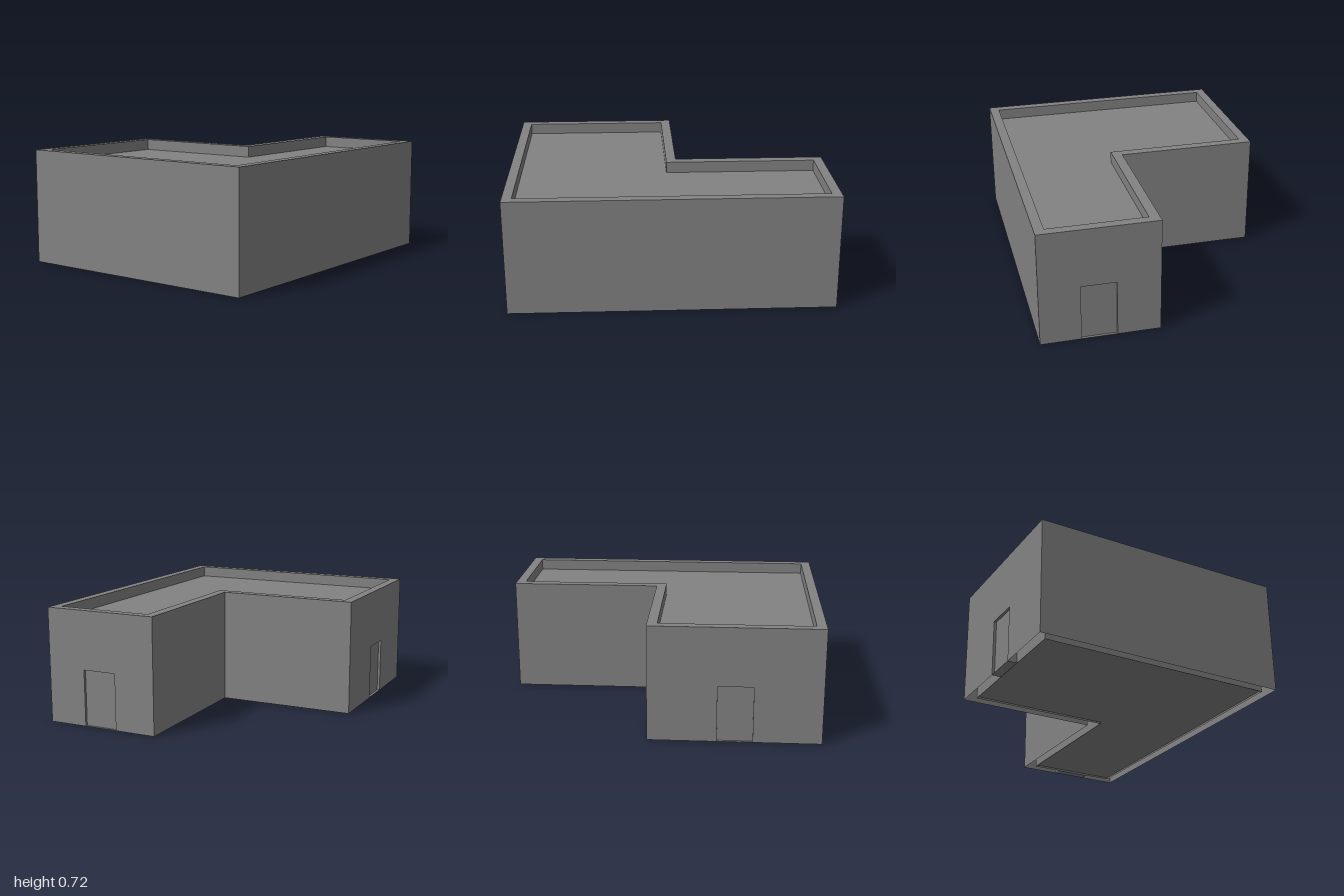
import * as THREE from 'three';

const HEIGHT = 0.72, ROOF = 0.65, DOOR_W = 0.22, DOOR_H = 0.355;

// L-shaped plan as [x, z], going round from the front left corner
const OUTER = [[-0.802, 1], [0.802, 1], [0.802, -1], [0.075, -1], [0.075, -0.052], [-0.802, -0.052]];
const INNER = [[-0.742, 0.94], [0.742, 0.94], [0.742, -0.94], [0.138, -0.94], [0.138, 0.01], [-0.742, 0.01]];
// Distance of each door's centre along its wall
const DOORS = { 2: 0.355, 5: 0.53 };

const material = new THREE.MeshStandardMaterial({ color: 0x828282, side: THREE.DoubleSide });

const shapeOf = (points) => new THREE.Shape(points.map(([x, y]) => new THREE.Vector2(x, y)));

function add(parent, name, geometry, y = 0) {
  const mesh = new THREE.Mesh(geometry, material);
  mesh.name = name;
  mesh.position.y = y;
  parent.add(mesh);
}

// Group whose local x runs along the wall and whose local z points out of it
function wallFrame(p, q) {
  const frame = new THREE.Group();
  frame.position.set(p[0], 0, p[1]);
  frame.rotation.y = Math.atan2(p[1] - q[1], q[0] - p[0]);
  return frame;
}

// Upright wall face, with a notch in the bottom edge for a door
function wallFace(length, door) {
  const points = [[0, 0]];
  if (door !== undefined) {
    const a = door - DOOR_W / 2, b = door + DOOR_W / 2;
    points.push([a, 0], [a, DOOR_H], [b, DOOR_H], [b, 0]);
  }
  points.push([length, 0], [length, HEIGHT], [0, HEIGHT]);
  return new THREE.ShapeGeometry(shapeOf(points));
}

// Door panel set back in a thin frame
function addDoor(parent, centre) {
  const door = new THREE.Group();
  door.name = 'door';
  door.position.x = centre;
  const w = DOOR_W / 2, t = 0.002;
  const surround = shapeOf([[-w, 0], [w, 0], [w, DOOR_H], [-w, DOOR_H]]);
  surround.holes.push(shapeOf([[-w + t, t], [-w + t, DOOR_H - t], [w - t, DOOR_H - t], [w - t, t]]));
  const frame = new THREE.ExtrudeGeometry(surround, { depth: 0.058, bevelEnabled: false });
  add(door, 'doorFrame', frame.translate(0, 0, -0.058));
  const panel = new THREE.BoxGeometry(DOOR_W - 2 * t, DOOR_H - 2 * t, 0.04);
  add(door, 'doorPanel', panel.translate(0, DOOR_H / 2, -0.036));
  parent.add(door);
}

export function createModel() {
  const model = new THREE.Group();
  model.name = 'building';

  // Outer and inner wall skins
  OUTER.forEach((p, i) => {
    const q = OUTER[(i + 1) % OUTER.length];
    const outside = wallFrame(p, q);
    outside.name = 'outerWall' + (i + 1);
    add(outside, 'wallFace', wallFace(Math.hypot(q[0] - p[0], q[1] - p[1]), DOORS[i]));
    if (DOORS[i] !== undefined) addDoor(outside, DOORS[i]);
    model.add(outside);

    const a = INNER[(i + 1) % INNER.length], b = INNER[i];
    const inside = wallFrame(a, b);
    inside.name = 'innerWall' + (i + 1);
    add(inside, 'wallFace', wallFace(Math.hypot(b[0] - a[0], b[1] - a[1])));
    model.add(inside);
  });

  // Flat top of the parapet
  const flip = (points) => points.map(([x, z]) => [x, -z]);
  const rim = shapeOf(flip(OUTER));
  rim.holes.push(shapeOf(flip(INNER)));
  add(model, 'parapetTop', new THREE.ShapeGeometry(rim).rotateX(-Math.PI / 2), HEIGHT);

  // Sunken roof, and floor set slightly up between the walls
  add(model, 'roof', new THREE.ShapeGeometry(shapeOf(flip(INNER))).rotateX(-Math.PI / 2), ROOF);
  add(model, 'floor', new THREE.ShapeGeometry(shapeOf(INNER)).rotateX(Math.PI / 2), 0.012);

  return model;
}
